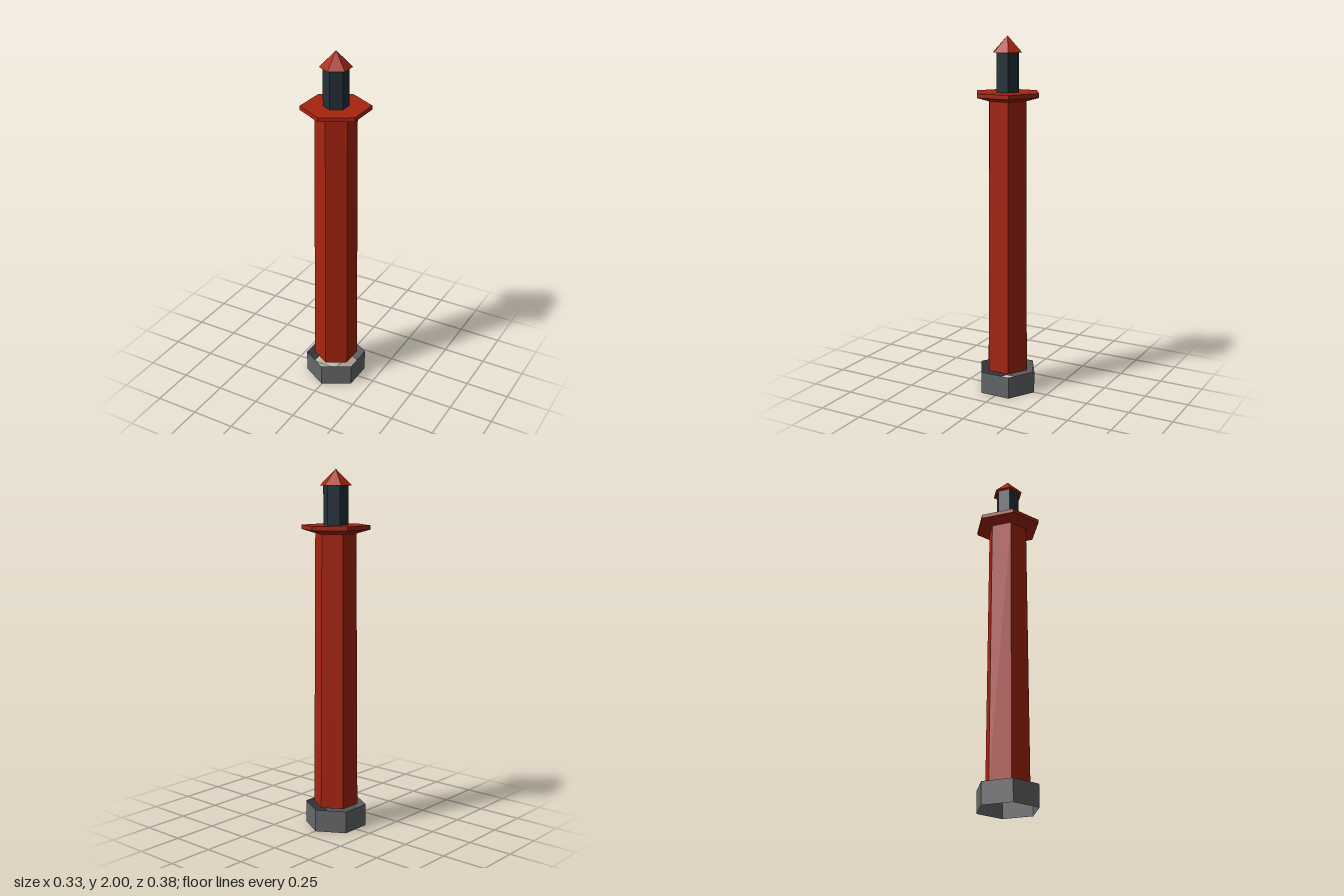
import * as THREE from 'three';

const material = (name, color) => {
  const m = new THREE.MeshStandardMaterial({ color, flatShading: true, side: THREE.DoubleSide });
  m.name = name;
  return m;
};

export function createModel() {
  const group = new THREE.Group();
  group.name = 'lighthouse';
  const red = material('red paint', 0xa82410);
  const grey = material('grey stone', 0x66696b);
  const dark = material('dark glass', 0x22313a);

  // Open six-sided shell from height y0 (radius r0) to y1 (radius r1), corners on the z axis
  const hexShell = (name, mat, y0, r0, y1, r1) => {
    const mesh = new THREE.Mesh(new THREE.CylinderGeometry(r1, r0, y1 - y0, 6, 1, true), mat);
    mesh.position.y = (y0 + y1) / 2;
    mesh.name = name;
    group.add(mesh);
  };

  // Foundation ring and tapering tower
  hexShell('foundation', grey, 0, 0.173, 0.125, 0.173);
  hexShell('tower', red, 0.125, 0.125, 1.655, 0.114);

  // Gallery: flared underside, rim and deck
  hexShell('galleryFlare', red, 1.655, 0.114, 1.677, 0.19);
  hexShell('galleryRim', red, 1.677, 0.19, 1.7, 0.19);
  const deck = new THREE.Mesh(new THREE.CircleGeometry(0.19, 6, Math.PI / 2), red);
  deck.rotation.x = -Math.PI / 2;
  deck.position.y = 1.7;
  deck.name = 'galleryDeck';
  group.add(deck);

  // Lantern room and pointed roof
  hexShell('lantern', dark, 1.7, 0.069, 1.912, 0.069);
  hexShell('roof', red, 1.912, 0.088, 2, 0);

  return group;
}
